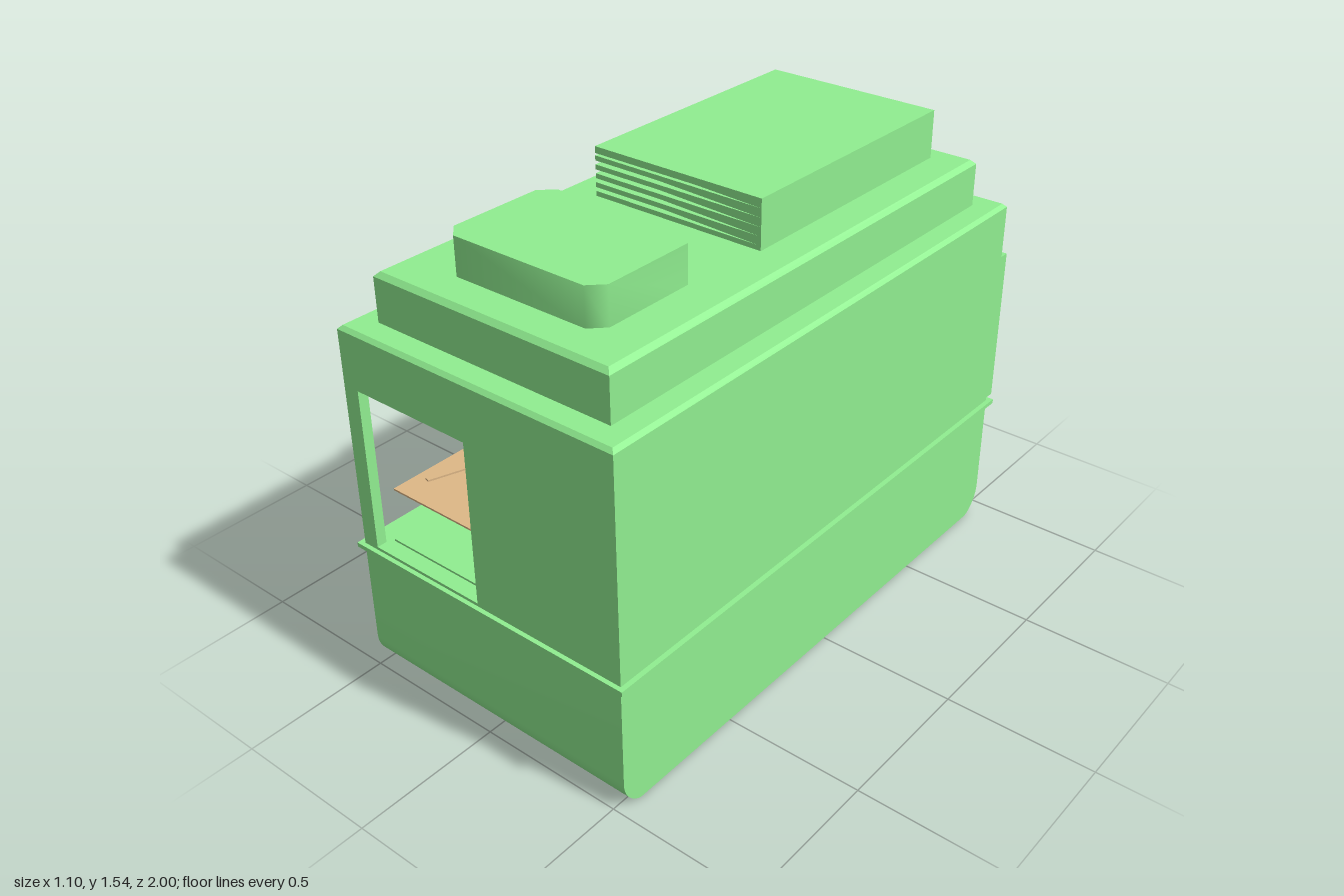
import * as THREE from 'three';
import { toCreasedNormals } from 'three/addons/utils/BufferGeometryUtils.js';

const green = new THREE.MeshStandardMaterial({ color: 0x90ee90 });
const greenSheet = new THREE.MeshStandardMaterial({ color: 0x90ee90, side: THREE.DoubleSide });
const tan = new THREE.MeshStandardMaterial({ color: 0xdeb887 });

export function createModel() {
  const model = new THREE.Group();

  const add = (name, geometry, material = green, parent = model) => {
    const mesh = new THREE.Mesh(geometry, material);
    mesh.name = name;
    parent.add(mesh);
    return mesh;
  };

  // Box given by its limits on each axis
  const box = (x0, x1, y0, y1, z0, z1) =>
    new THREE.BoxGeometry(x1 - x0, y1 - y0, z1 - z0)
      .translate((x0 + x1) / 2, (y0 + y1) / 2, (z0 + z1) / 2);

  // Box whose top edges are bevelled by b
  const bevelBox = (x0, x1, y0, y1, z0, z1, b) => {
    const w = x1 - x0, h = y1 - y0, d = z1 - z0;
    const g = new THREE.BoxGeometry(w, h, d, 1, 2, 1).toNonIndexed();
    const p = g.attributes.position;
    for (let i = 0; i < p.count; i++) {
      const y = p.getY(i);
      if (Math.abs(y) < 1e-6) p.setY(i, h / 2 - b);
      else if (y > 0) {
        p.setX(i, p.getX(i) * (1 - 2 * b / w));
        p.setZ(i, p.getZ(i) * (1 - 2 * b / d));
      }
    }
    g.computeVertexNormals();
    return g.translate((x0 + x1) / 2, (y0 + y1) / 2, (z0 + z1) / 2);
  };

  // Upright prism from a plan outline of [x, z] points and optional hole
  const prism = (outline, y0, y1, hole) => {
    const toPoints = (list) => list.map(([x, z]) => new THREE.Vector2(x, -z));
    const shape = new THREE.Shape(toPoints(outline));
    if (hole) shape.holes.push(new THREE.Path(toPoints(hole)));
    return new THREE.ExtrudeGeometry(shape, { depth: y1 - y0, bevelEnabled: false })
      .rotateX(-Math.PI / 2).translate(0, y0, 0);
  };
  const rect = (x0, x1, z0, z1) => [[x0, z0], [x1, z0], [x1, z1], [x0, z1]];

  const L = -0.515, R = 0.53, B = -0.965, F = 0.985;

  // Lower hull: side profile with rounded bottom corners, extruded across x
  const hull = new THREE.Shape();
  hull.moveTo(B, 0.45);
  hull.lineTo(B, 0.1);
  hull.bezierCurveTo(B, 0.05, B + 0.035, 0.012, B + 0.07, 0);
  hull.lineTo(F - 0.07, 0);
  hull.bezierCurveTo(F - 0.035, 0.012, F, 0.05, F, 0.1);
  hull.lineTo(F, 0.45);
  const hullGeometry = new THREE.ExtrudeGeometry(hull, { depth: R - L, bevelEnabled: false, curveSegments: 10 });
  hullGeometry.rotateY(-Math.PI / 2).translate(R, 0, 0);
  add('lowerBody', toCreasedNormals(hullGeometry, 0.6));

  // Trim strip around the counter line, and the floor above it
  add('trim', box(-0.535, 0.547, 0.445, 0.46, -0.985, 1));
  add('floor', box(L, R, 0.458, 0.47, B, F));
  add('floorFrame', prism(rect(-0.44, -0.07, -0.03, 0.93), 0.469, 0.477,
    rect(-0.415, -0.095, -0.005, 0.905)));

  // Thin outer walls and the posts of the front opening
  const wallH = 0.55, wallY = 0.745;
  add('sideWall', new THREE.PlaneGeometry(F - B, wallH).rotateY(Math.PI / 2)
    .translate(R, wallY, (F + B) / 2), greenSheet);
  add('frontWall', new THREE.PlaneGeometry(R, wallH).translate(R / 2, wallY, F), greenSheet);
  add('doorPost', box(-0.022, 0.005, 0.47, 1.02, F - 0.03, F));
  add('cornerPost', box(L, -0.457, 0.47, 1.02, F - 0.035, F));

  // Upper band and stepped roof
  add('upperBand', bevelBox(L, R, 1.02, 1.215, B, F, 0.012));
  add('roofStep', bevelBox(-0.435, 0.447, 1.21, 1.375, -0.88, 0.9, 0.015));

  // Cover panels wrapped round the back corner
  add('backPanel', box(-0.55, 0.53, 0.47, 1.02, -1, B));
  add('sidePanel', box(-0.55, L, 0.47, 1.02, -1, -0.15));

  // Large roof unit: its core narrows to one corner, where the louvres stand proud
  const unit = new THREE.Group();
  unit.name = 'roofUnit';
  model.add(unit);
  add('unitCore', prism([[-0.31, -0.8], [0.322, -0.8], [0.322, 0.115], [-0.275, 0.08]], 1.37, 1.53), green, unit);
  add('unitTop', box(-0.31, 0.322, 1.515, 1.537, -0.8, 0.115), green, unit);
  for (let i = 0; i < 5; i++) {
    const y = 1.375 + i * 0.029;
    add('louvre', box(-0.31, 0.322, y, y + 0.016, -0.8, 0.115), green, unit);
  }

  // Small roof hatch with clipped corners
  const c = 0.045, x0 = -0.275, x1 = 0.297, z0 = 0.365, z1 = 0.775;
  add('roofHatch', toCreasedNormals(prism([
    [x0 + c, z0], [x1 - c, z0], [x1, z0 + c], [x1, z1 - c],
    [x1 - c, z1], [x0 + c, z1], [x0, z1 - c], [x0, z0 + c],
  ], 1.37, 1.5), 0.9));

  // Table with crossed bars
  const table = new THREE.Group();
  table.name = 'table';
  table.position.set(-0.255, 0, 0.45);
  model.add(table);
  add('tableTop', box(-0.175, 0.175, 0.656, 0.662, -0.47, 0.47), tan, table);
  for (const s of [-1, 1]) {
    const bar = add('crossBar', new THREE.BoxGeometry(0.018, 0.008, 0.8), tan, table);
    bar.position.y = 0.664;
    bar.rotation.y = s * Math.atan2(0.13, 0.38);
  }

  // Row of ringed hubs with a spindle and an arm
  for (const z of [-0.12, 0, 0.12]) {
    add('hub', new THREE.CylinderGeometry(0.03, 0.034, 0.075, 20).translate(0, 0.697, z), tan, table);
    for (let i = 0; i < 5; i++) {
      add('hubRing', new THREE.CylinderGeometry(0.043, 0.043, 0.008, 20)
        .translate(0, 0.672 + i * 0.0145, z), tan, table);
    }
  }
  add('spindle', new THREE.CylinderGeometry(0.006, 0.006, 0.05, 10).translate(0, 0.75, 0), tan, table);
  add('arm', box(0.03, 0.27, 0.673, 0.698, -0.015, 0.015), tan, table);

  return model;
}
